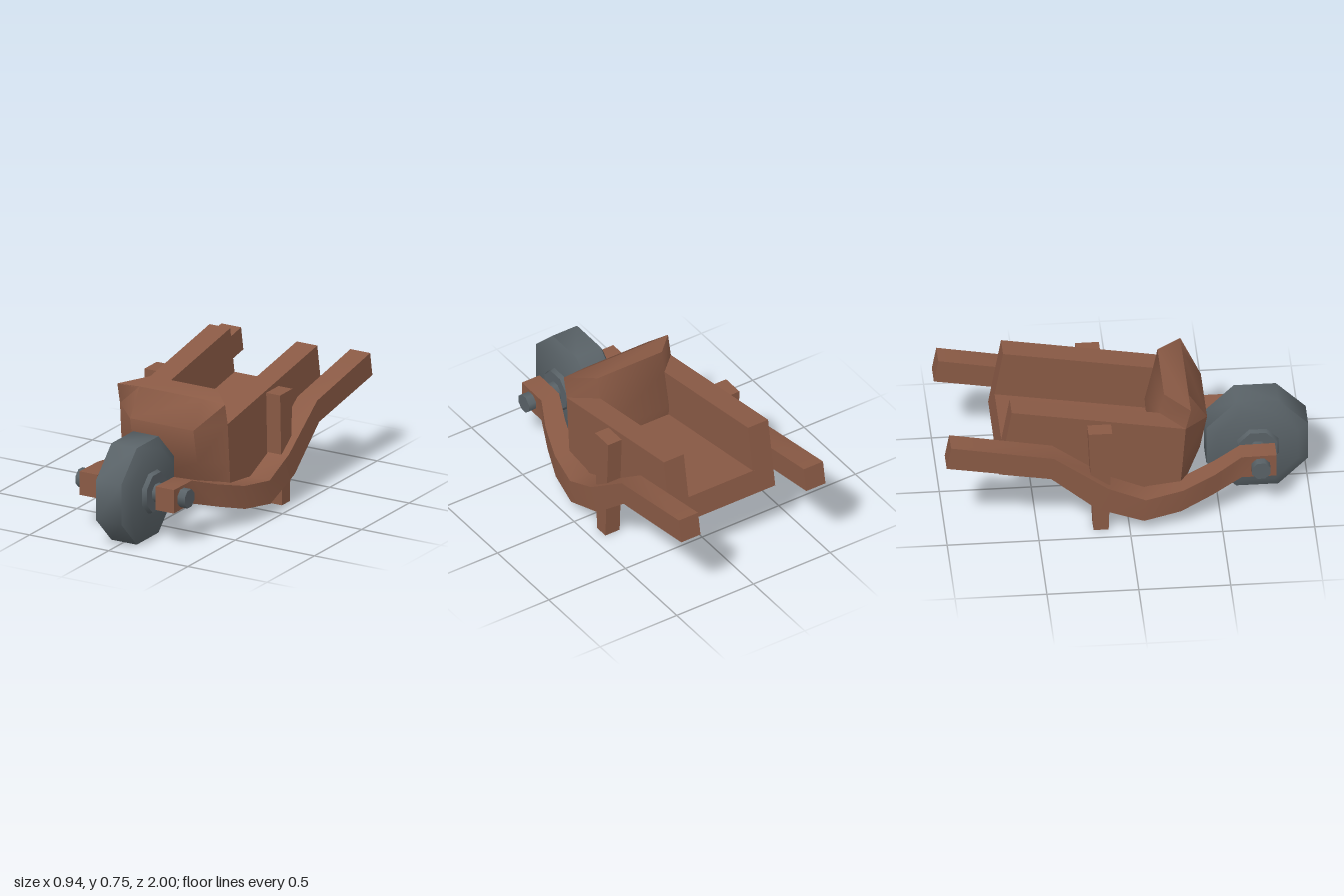
import * as THREE from 'three';
import { toCreasedNormals } from 'three/addons/utils/BufferGeometryUtils.js';

const CREASE = 0.87;

// Joins equal-sized convex rings of [x, y, z] points into a closed solid.
function loft(rings) {
  const n = rings[0].length;
  const p = rings.flat();
  const faces = [];
  for (let r = 0; r < rings.length - 1; r++) {
    for (let i = 0; i < n; i++) {
      const a = r * n + i, b = r * n + (i + 1) % n;
      faces.push([a, b, b + n], [a, b + n, a + n]);
    }
  }
  const last = (rings.length - 1) * n;
  for (let i = 1; i < n - 1; i++) {
    faces.push([0, i + 1, i], [last, last + i, last + i + 1]);
  }
  // Turn the faces outward whichever way the rings run
  let volume = 0;
  const [A, B, C] = [new THREE.Vector3(), new THREE.Vector3(), new THREE.Vector3()];
  for (const [a, b, c] of faces) {
    volume += A.fromArray(p[a]).dot(B.fromArray(p[b]).cross(C.fromArray(p[c])));
  }
  if (volume < 0) faces.forEach((f) => f.reverse());
  const g = new THREE.BufferGeometry();
  g.setAttribute('position', new THREE.Float32BufferAttribute(p.flat(), 3));
  g.setIndex(faces.flat());
  return toCreasedNormals(g, CREASE);
}

// Side profile of [z, y] points pulled from x0 to x1
function slab(profile, x0, x1) {
  return loft([x0, x1].map((x) => profile.map(([z, y]) => [x, y, z])));
}

// Eight-sided turned part lying along x; profile is [flat radius, x]
function turned(profile) {
  const k = 1 / Math.cos(Math.PI / 8);
  const pts = profile.map(([r, x]) => new THREE.Vector2(r * k, x));
  const g = new THREE.LatheGeometry(pts, 8, Math.PI / 8);
  g.rotateZ(Math.PI / 2);
  return toCreasedNormals(g, CREASE);
}

export function createModel() {
  const model = new THREE.Group();
  model.name = 'wheelbarrow';
  const wood = new THREE.MeshStandardMaterial({ name: 'brown wood', color: 0x8a5a45 });
  const iron = new THREE.MeshStandardMaterial({ name: 'dark grey', color: 0x596267 });

  const add = (name, geometry, material, parent = model) => {
    const mesh = new THREE.Mesh(geometry, material);
    mesh.name = name;
    parent.add(mesh);
    return mesh;
  };

  // Wheel, hub and axle
  const wheel = new THREE.Group();
  wheel.name = 'wheel';
  wheel.position.set(0, 0.277, 0.723);
  model.add(wheel);
  add('tyre', turned([[0, -0.113], [0.22, -0.113], [0.277, -0.08],
    [0.277, 0.08], [0.22, 0.113], [0, 0.113]]), iron, wheel);
  add('hub', turned([[0, -0.138], [0.105, -0.138], [0.117, -0.105],
    [0.117, 0.105], [0.105, 0.138], [0, 0.138]]), iron, wheel);
  add('axle', turned([[0, -0.345], [0.05, -0.345], [0.05, 0.345], [0, 0.345]]), iron, wheel);

  // Tray floor, open at the back
  add('trayFloor', slab([[0.28, 0.17], [-0.705, 0.34], [-0.681, 0.48], [0.2, 0.33]],
    -0.22, 0.22), wood);

  // Bulging front board with an overhanging lip:
  // each level gives [z, y] at the side edge, the front panel and the inner face
  const levels = [
    [[0.28, 0.17], [0.285, 0.18], [0.15, 0.2]],
    [[0.295, 0.355], [0.4, 0.355], [0.135, 0.4]],
    [[0.312, 0.58], [0.44, 0.555], [0.18, 0.6]],
    [[0.34, 0.7], [0.34, 0.708], [0.205, 0.725]],
  ];
  add('trayFront', loft(levels.map(([s, f, i]) => [
    [-0.34, s[1], s[0]], [-0.2, f[1], f[0]], [0.2, f[1], f[0]],
    [0.34, s[1], s[0]], [0.21, i[1], i[0]], [-0.21, i[1], i[0]],
  ])), wood);

  // Handle sections: top z, y; bottom z, y; inner x, outer x
  const sections = [
    [0.81, 0.345, 0.81, 0.21, 0.183, 0.298],
    [0.62, 0.342, 0.62, 0.21, 0.183, 0.298],
    [0.47, 0.288, 0.45, 0.153, 0.245, 0.372],
    [0.29, 0.235, 0.28, 0.1, 0.305, 0.432],
    [0.085, 0.211, 0.075, 0.075, 0.345, 0.47],
    [-0.12, 0.3, -0.18, 0.168, 0.345, 0.47],
    [-0.416, 0.518, -0.437, 0.39, 0.345, 0.47],
    [-0.976, 0.622, -1, 0.488, 0.345, 0.47],
  ];

  // Mirrored parts
  for (const [side, s] of [['left', 1], ['right', -1]]) {
    add(side + 'TrayWall', slab(
      [[0.312, 0.58], [-0.635, 0.745], [-0.705, 0.34], [0.28, 0.17]],
      s * 0.21, s * 0.34), wood);
    add(side + 'Handle', loft(sections.map(([tz, ty, bz, by, xi, xo]) => [
      [s * xi, ty, tz], [s * xo, ty, tz], [s * xo, by, bz], [s * xi, by, bz],
    ])), wood);
    add(side + 'Leg', slab(
      [[-0.095, 0.637], [-0.225, 0.637], [-0.197, 0], [-0.115, 0]],
      s * 0.335, s * 0.428), wood);
  }
  return model;
}
